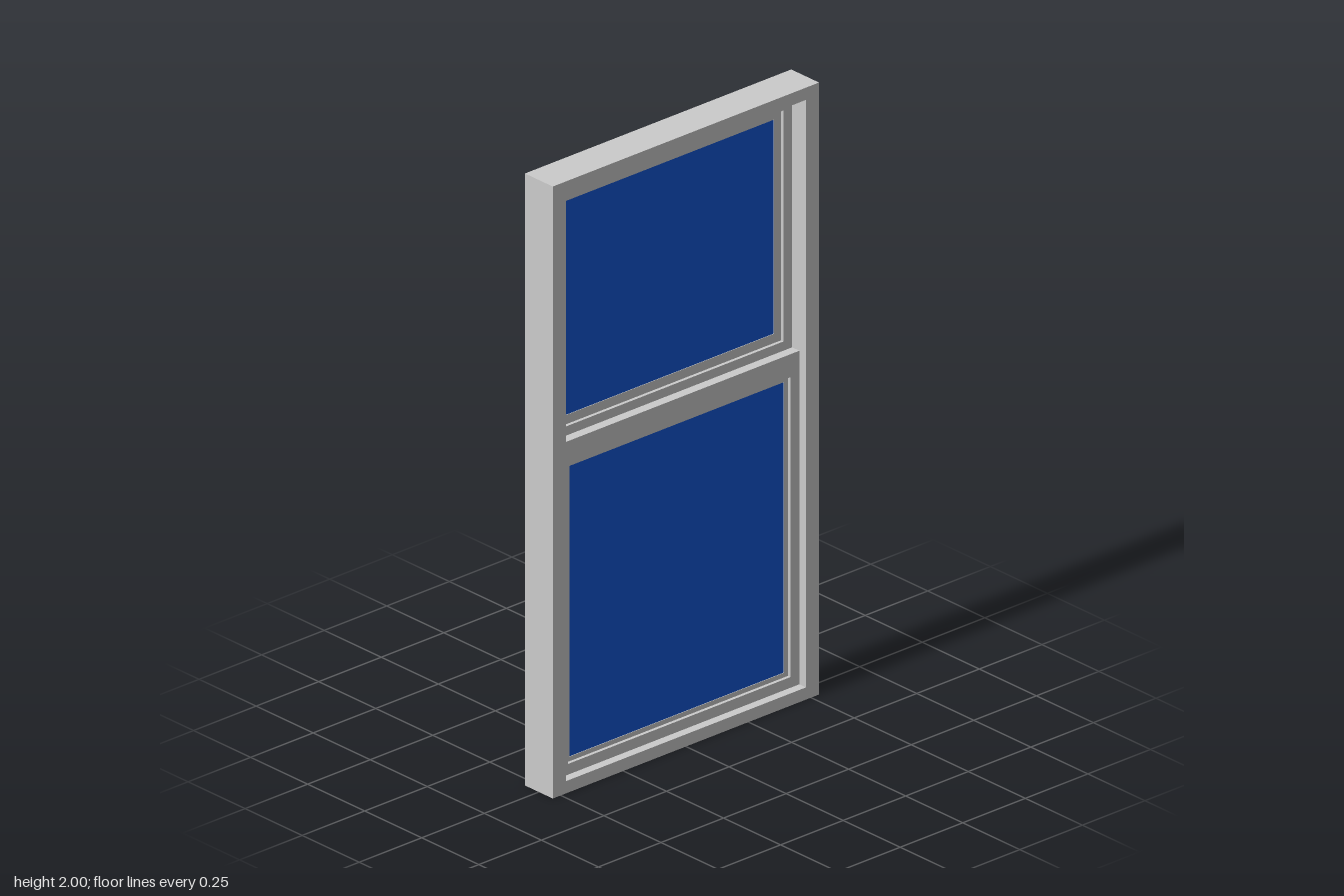
import * as THREE from 'three';

const grey = new THREE.MeshStandardMaterial({ color: 0xcccccc });
const glassBlue = new THREE.MeshStandardMaterial({ color: 0x1155d5 });

function addRect(path, halfWidth, y0, y1) {
  path.moveTo(-halfWidth, y0);
  path.lineTo(halfWidth, y0);
  path.lineTo(halfWidth, y1);
  path.lineTo(-halfWidth, y1);
  path.closePath();
  return path;
}

// Rectangular ring across z and y, running from x0 to x1 in depth.
// outer and inner are [half width, bottom, top].
function ring(name, outer, inner, x0, x1) {
  const shape = addRect(new THREE.Shape(), ...outer);
  shape.holes.push(addRect(new THREE.Path(), ...inner));
  const geometry = new THREE.ExtrudeGeometry(shape, { depth: x1 - x0, bevelEnabled: false });
  geometry.rotateY(Math.PI / 2);
  geometry.translate(x0, 0, 0);
  const mesh = new THREE.Mesh(geometry, grey);
  mesh.name = name;
  return mesh;
}

// Sash: rails and stiles, a thinner glazing bead, and the pane
function sash(name, outer, opening, pane, x0, x1) {
  const group = new THREE.Group();
  group.name = name;
  const mid = (x0 + x1) / 2;
  group.add(ring('sashRails', outer, opening, x0, x1));
  group.add(ring('glazingBead', opening, pane, mid - 0.005, mid + 0.005));

  const [halfWidth, y0, y1] = pane;
  const glass = new THREE.Mesh(new THREE.BoxGeometry(0.006, y1 - y0, halfWidth * 2), glassBlue);
  glass.position.set(mid, (y0 + y1) / 2, 0);
  glass.name = 'glassPane';
  group.add(glass);
  return group;
}

export function createModel() {
  const model = new THREE.Group();
  model.name = 'sashWindow';

  // Outer frame
  model.add(ring('outerFrame', [0.532, 0, 2], [0.48, 0.04, 1.96], -0.061, 0.061));

  // Lower sash sits on the +x track, upper sash on the -x track
  model.add(sash('lowerSash', [0.48, 0.04, 1.13], [0.445, 0.075, 1.055], [0.428, 0.09, 1.04], 0, 0.032));
  model.add(sash('upperSash', [0.48, 1.08, 1.96], [0.445, 1.16, 1.915], [0.418, 1.19, 1.89], -0.032, 0));

  return model;
}
